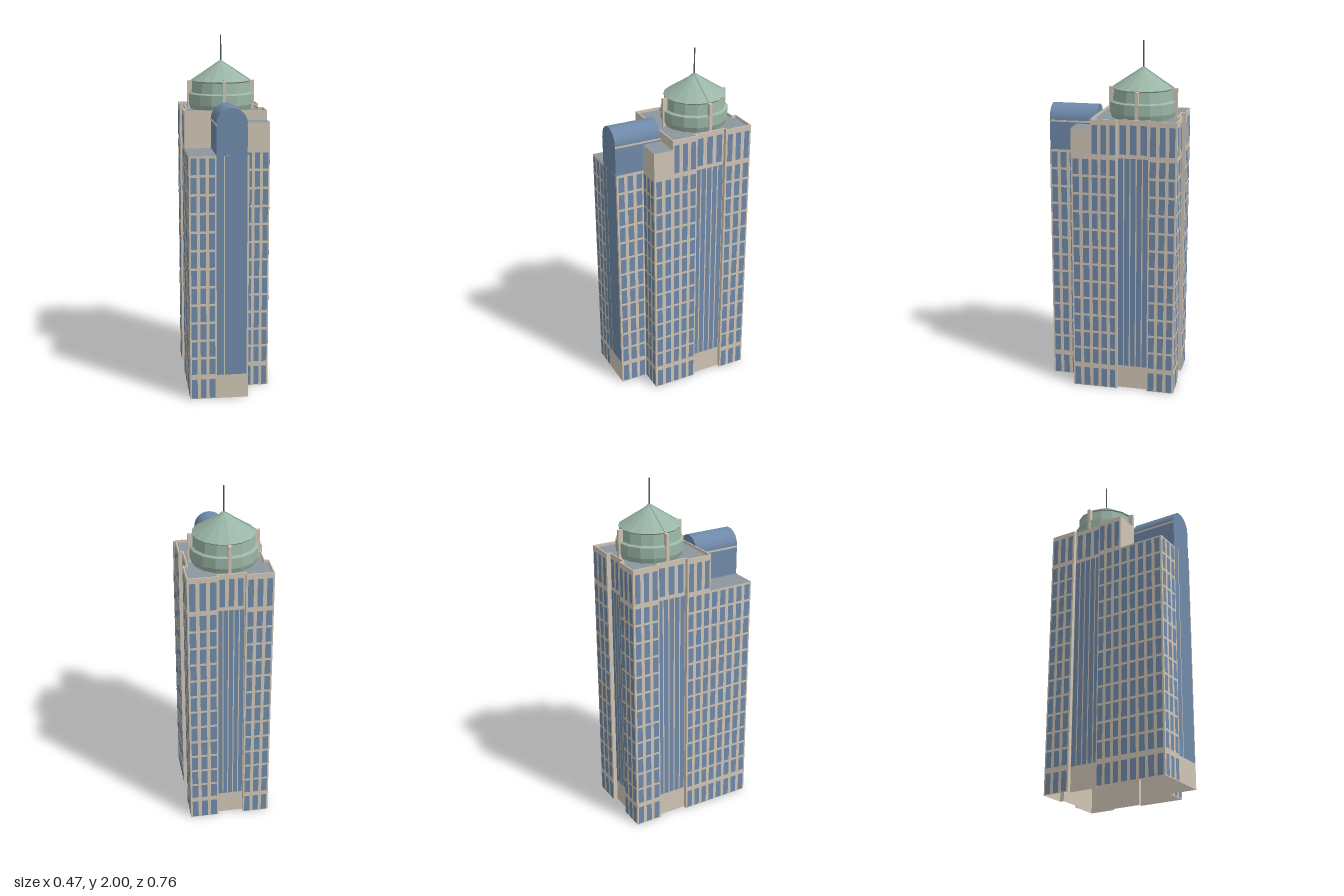
import * as THREE from 'three';
import { mergeGeometries, toCreasedNormals } from 'three/addons/utils/BufferGeometryUtils.js';

const paint = (name, color) => Object.assign(
  new THREE.MeshStandardMaterial({ color, side: THREE.DoubleSide }), { name });

export function createModel() {
  const model = new THREE.Group();
  model.name = 'tower';
  const stone = paint('warm stone', 0xd0c5b5);
  const glass = paint('blue glass', 0x6f89a9);
  const roofing = paint('grey roofing', 0x8d969e);
  const copper = paint('green copper', 0x9ab5a6);
  const steel = paint('dark steel', 0x565c60);

  const add = (name, geometry, material, x = 0, y = 0, z = 0) => {
    const mesh = new THREE.Mesh(geometry, material);
    mesh.name = name;
    mesh.position.set(x, y, z);
    model.add(mesh);
    return mesh;
  };

  // Storey heights
  const BASE = 0.14, SHOULDER = 1.385, WING = 1.54, ROOF = 1.58, TOP = 1.595;
  const STOREYS = 12, STEP = (SHOULDER - 0.005 - BASE) / STOREYS;

  // Upright rectangle on the line a-b (seen from outside, a is on the left)
  const panel = (a, b, s0, s1, y0, y1, out = 0) => {
    const dx = b[0] - a[0], dz = b[1] - a[1], len = Math.hypot(dx, dz);
    const nx = -dz / len, nz = dx / len, mid = (s0 + s1) / 2;
    return new THREE.PlaneGeometry((s1 - s0) * len, y1 - y0)
      .rotateY(Math.atan2(nx, nz))
      .translate(a[0] + dx * mid + nx * out, (y0 + y1) / 2, a[1] + dz * mid + nz * out);
  };

  const walls = [], windows = [], curtains = [];
  const PROUD = 0.002;

  // Columns of separate windows between two heights
  const row = (a, b, cols, y0, y1, fill = 0.64) => {
    for (let i = 0; i < cols; i++) {
      const c = (i + 0.5) / cols, h = fill / 2 / cols;
      windows.push(panel(a, b, c - h, c + h, y0, y1, PROUD));
    }
  };

  const wall = (a, b, top, kind, cols) => {
    walls.push(panel(a, b, 0, 1, 0, top));
    if (kind === 'grid') {
      row(a, b, cols, 0.004, 0.117);
      for (let k = 0; k < STOREYS; k++) {
        row(a, b, cols, BASE + k * STEP + 0.007, BASE + (k + 1) * STEP - 0.007);
      }
    }
    if (kind === 'curtain') {
      for (let i = 0; i < cols; i++) {
        curtains.push(panel(a, b, (i + 0.1) / cols, (i + 0.9) / cols, BASE, SHOULDER - 0.005, PROUD));
      }
    }
    if (kind && top === ROOF) row(a, b, 3, 1.402, 1.565, 0.6);
  };

  // Outline of the tower: end point, wall height, facade type, columns
  const X = 0.232, N = 0.21, Z1 = -0.045, Z2 = -0.22, BACK = -0.377, FRONT = 0.375, STEPZ = 0.105;
  const outline = [
    [-0.083, FRONT, SHOULDER, 'grid', 3],
    [0.095, FRONT, SHOULDER],
    [0.095, 0.215, SHOULDER, 'grid', 3],
    [X, 0.215, WING, 'grid', 3],
    [X, STEPZ, WING, 'grid', 2],
    [X, Z1, ROOF, 'grid', 3],
    [N, Z1, ROOF],
    [N, Z2, ROOF, 'curtain', 5],
    [X, Z2, ROOF],
    [X, BACK, ROOF, 'grid', 3],
    [0.067, BACK, ROOF, 'grid', 3],
    [0.067, -0.353, ROOF],
    [-0.08, -0.353, ROOF, 'curtain', 5],
    [-0.08, BACK, ROOF],
    [-X, BACK, ROOF, 'grid', 3],
    [-X, Z2, ROOF, 'grid', 3],
    [-N, Z2, ROOF],
    [-N, Z1, ROOF, 'curtain', 5],
    [-X, Z1, ROOF],
    [-X, STEPZ, ROOF, 'grid', 3],
    [-X, FRONT, SHOULDER, 'grid', 5],
  ];
  let from = [-X, FRONT];
  for (const [x, z, top, kind, cols] of outline) {
    wall(from, [x, z], top, kind, cols);
    from = [x, z];
  }

  // Set-back walls above the front wings
  walls.push(panel([-X, STEPZ], [X, STEPZ], 0, 1, SHOULDER, ROOF));
  walls.push(panel([0.095, STEPZ], [0.095, 0.215], 0, 1, SHOULDER, WING));

  // Tall front glazing below the vault
  const fa = [-0.083, FRONT], fb = [0.085, FRONT];
  curtains.push(panel(fa, fb, 0, 0.24, BASE, SHOULDER, PROUD));
  curtains.push(panel(fa, fb, 0.275, 1, BASE, SHOULDER, PROUD));

  add('walls', mergeGeometries(walls), stone);
  add('windows', mergeGeometries(windows), glass);
  add('curtainGlass', mergeGeometries(curtains), glass);

  // Main roof and its parapet
  const crown = outline.slice(4, 20).map(([x, z]) => [x, z]);
  const normal = (a, b) => {
    const l = Math.hypot(b[0] - a[0], b[1] - a[1]);
    return [-(b[1] - a[1]) / l, (b[0] - a[0]) / l];
  };
  const inner = crown.map((p, i) => {
    const n = normal(crown.at(i - 1), p), m = normal(p, crown[(i + 1) % crown.length]);
    return [p[0] - 0.006 * (n[0] + m[0]), p[1] - 0.006 * (n[1] + m[1])];
  });
  const points = list => list.map(([x, z]) => new THREE.Vector2(x, -z));
  add('mainRoof', new THREE.ShapeGeometry(new THREE.Shape(points(crown))).rotateX(-Math.PI / 2), roofing, 0, ROOF);
  const rim = new THREE.Shape(points(crown));
  rim.holes.push(new THREE.Path(points(inner)));
  add('parapet', new THREE.ExtrudeGeometry(rim, { depth: TOP - ROOF, bevelEnabled: false })
    .rotateX(-Math.PI / 2), stone, 0, ROOF);

  // Roofs of the front wings
  const deck = (name, x0, x1, z0, z1, y) => add(name,
    new THREE.PlaneGeometry(x1 - x0, z1 - z0).rotateX(-Math.PI / 2), roofing, (x0 + x1) / 2, y, (z0 + z1) / 2);
  deck('lowerWingRoof', -X, 0.095, STEPZ, FRONT, SHOULDER);
  deck('upperWingRoof', 0.095, X, STEPZ, 0.215, WING);

  // Glass barrel vault with a stone ledge on each side
  const R = 0.084, SPRING = 1.555;
  const arch = new THREE.Shape();
  arch.moveTo(-R, SHOULDER);
  arch.lineTo(R, SHOULDER);
  arch.lineTo(R, SPRING);
  arch.absarc(0, SPRING, R, 0, Math.PI);
  arch.closePath();
  add('barrelVault', toCreasedNormals(new THREE.ExtrudeGeometry(arch,
    { depth: FRONT - STEPZ, bevelEnabled: false, curveSegments: 24 }), 0.6), glass, 0.001, 0, STEPZ);
  for (const s of [-1, 1]) {
    add('vaultLedge', new THREE.BoxGeometry(0.004, 0.01, FRONT - STEPZ), stone,
      0.001 + s * R, SPRING - 0.006, (FRONT + STEPZ) / 2);
  }

  // Sixteen-sided copper dome
  const CZ = -0.145;
  const faceted = g => {
    const flat = g.toNonIndexed();
    flat.computeVertexNormals();
    return flat;
  };
  const profile = [[0.176, ROOF], [0.187, 1.61], [0.187, 1.668], [0.172, 1.676],
    [0.165, 1.735], [0.171, 1.742], [0.0001, 1.855]].map(p => new THREE.Vector2(...p));
  add('dome', faceted(new THREE.LatheGeometry(profile, 16)), copper, 0, 0, CZ);

  // Buttresses and roof ribs on the four axes
  const slope = Math.atan2(0.113, 0.171);
  for (let i = 0; i < 4; i++) {
    const turn = new THREE.Group();
    turn.name = 'domeQuarter';
    turn.position.z = CZ;
    turn.rotation.y = i * Math.PI / 2;
    const buttress = new THREE.Mesh(new THREE.BoxGeometry(0.028, 0.162, 0.017).translate(0.181, 1.661, 0), stone);
    buttress.name = 'buttress';
    const rib = new THREE.Mesh(new THREE.BoxGeometry(Math.hypot(0.113, 0.171), 0.006, 0.007), copper);
    rib.name = 'roofRib';
    rib.position.set(0.0855, 1.7995, 0);
    rib.rotation.z = -slope;
    turn.add(buttress, rib);
    model.add(turn);
  }

  // Spire
  add('spire', new THREE.CylinderGeometry(0.0035, 0.0045, 0.16, 8), steel, 0, 1.92, CZ);

  return model;
}
